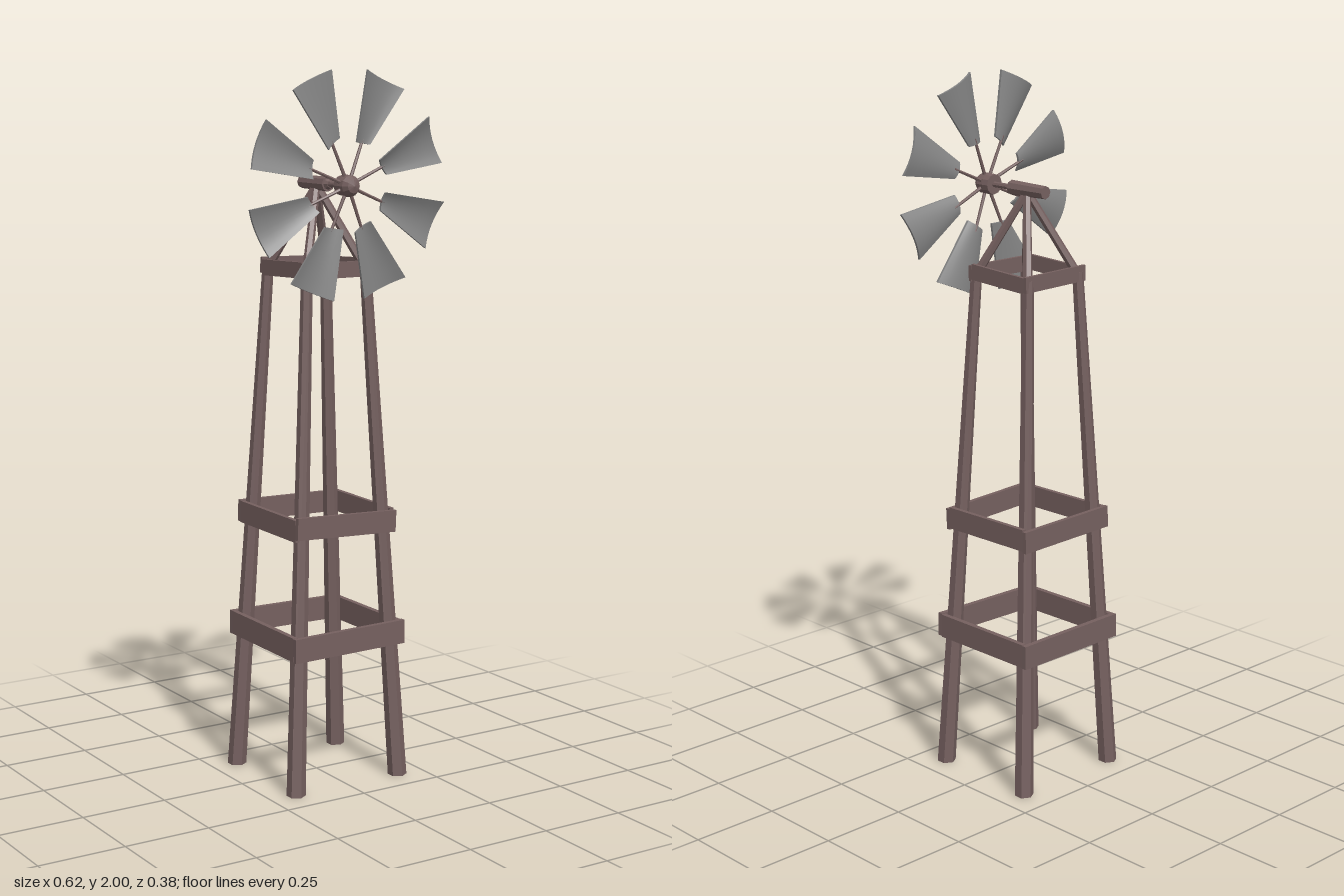
import * as THREE from 'three';

const wood = new THREE.MeshStandardMaterial({ color: 0x75605f });
wood.name = 'weathered wood';
wood.flatShading = true;
const metal = new THREE.MeshStandardMaterial({ color: 0x858585 });
metal.name = 'grey metal';

function add(parent, name, geometry, material) {
  const mesh = new THREE.Mesh(geometry, material);
  mesh.name = name;
  parent.add(mesh);
  return mesh;
}

// Tapered round beam between two points
function beam(parent, name, a, b, ra, rb, sides = 6) {
  const from = new THREE.Vector3(...a), to = new THREE.Vector3(...b);
  const dir = to.clone().sub(from);
  const mesh = add(parent, name, new THREE.CylinderGeometry(rb, ra, dir.length(), sides), wood);
  mesh.position.copy(from).add(to).multiplyScalar(0.5);
  mesh.quaternion.setFromUnitVectors(new THREE.Vector3(0, 1, 0), dir.normalize());
  return mesh;
}

// Leaning leg with level ends, made by shearing a cylinder
function legGeometry(sx, sz) {
  const h = 1.465;
  const g = new THREE.CylinderGeometry(0.016, 0.027, h, 6);
  g.translate(0, h / 2, 0);
  const p = g.attributes.position;
  for (let i = 0; i < p.count; i++) {
    const t = p.getY(i) / h;
    p.setX(i, p.getX(i) + sx * (0.171 - 0.076 * t));
    p.setZ(i, p.getZ(i) + sz * (0.164 - 0.062 * t));
  }
  g.computeVertexNormals();
  return g;
}

// Four boards nailed around the legs
function boardRing(parent, name, y, half, height, thick, tilts) {
  const ring = new THREE.Group();
  ring.name = name;
  for (let i = 0; i < 4; i++) {
    const side = new THREE.Group();
    side.name = name + 'Side';
    side.rotation.y = i * Math.PI / 2;
    const length = 2 * half + (i % 2 ? -thick : thick);
    const board = add(side, 'board', new THREE.BoxGeometry(length, height, thick), wood);
    board.position.set(0, y, half);
    board.rotation.z = tilts[i];
    ring.add(side);
  }
  parent.add(ring);
}

// Flared, cupped and slightly pitched sail along +y
function bladeGeometry() {
  const g = new THREE.BoxGeometry(1, 1, 1, 8, 5, 1);
  const p = g.attributes.position;
  for (let i = 0; i < p.count; i++) {
    const t = p.getX(i) * 2, v = p.getY(i) + 0.5;
    const cup = 0.016 * (t * t - 0.6) * (0.5 + 0.5 * v);
    p.setXYZ(i,
      t * (0.025 + 0.044 * v),
      0.122 + 0.184 * v + 0.006 * t * (1 - v),
      cup - 0.006 * t + p.getZ(i) * 0.007);
  }
  g.computeVertexNormals();
  return g;
}

export function createModel() {
  const model = new THREE.Group();
  model.name = 'windPump';

  // Tower legs and the struts that meet at the peak
  for (const sx of [-1, 1]) for (const sz of [-1, 1]) {
    add(model, 'leg', legGeometry(sx, sz), wood);
    beam(model, 'peakStrut', [sx * 0.098, 1.45, sz * 0.104], [0, 1.685, 0], 0.013, 0.011);
  }

  // Bracing boards
  boardRing(model, 'lowerBracing', 0.423, 0.174, 0.068, 0.015, [0.015, 0, 0.01, -0.01]);
  boardRing(model, 'middleBracing', 0.752, 0.156, 0.062, 0.013, [-0.04, 0.01, 0.02, -0.01]);
  boardRing(model, 'topBracing', 1.458, 0.109, 0.044, 0.01, [0, -0.05, 0.02, 0.04]);

  // Gearbox and drive shaft
  const y = 1.69;
  beam(model, 'gearbox', [0, y, -0.072], [0, y, 0.06], 0.018, 0.021, 8);
  beam(model, 'shaftCollar', [0, y, 0.06], [0, y, 0.07], 0.016, 0.01, 8);
  beam(model, 'driveShaft', [0, y, 0.06], [0, y, 0.135], 0.008, 0.008, 8);

  // Wheel: domed hub, spokes and sails
  const wheel = new THREE.Group();
  wheel.name = 'wheel';
  wheel.position.set(0, y, 0.158);
  model.add(wheel);
  const profile = [[0, -0.028], [0.028, -0.028], [0.03, -0.008], [0.029, 0.015], [0.019, 0.03], [0, 0.035]]
    .map(([r, h]) => new THREE.Vector2(r, h));
  const hub = add(wheel, 'hub', new THREE.LatheGeometry(profile, 12), wood);
  hub.rotation.x = Math.PI / 2;

  const sail = bladeGeometry();
  for (let i = 0; i < 8; i++) {
    const arm = new THREE.Group();
    arm.name = 'wheelArm';
    arm.rotation.z = (i + 0.5) * Math.PI / 4;
    beam(arm, 'spoke', [0, 0.02, 0.001], [0, 0.14, -0.006], 0.005, 0.004, 6);
    add(arm, 'sail', sail, metal);
    wheel.add(arm);
  }
  return model;
}
